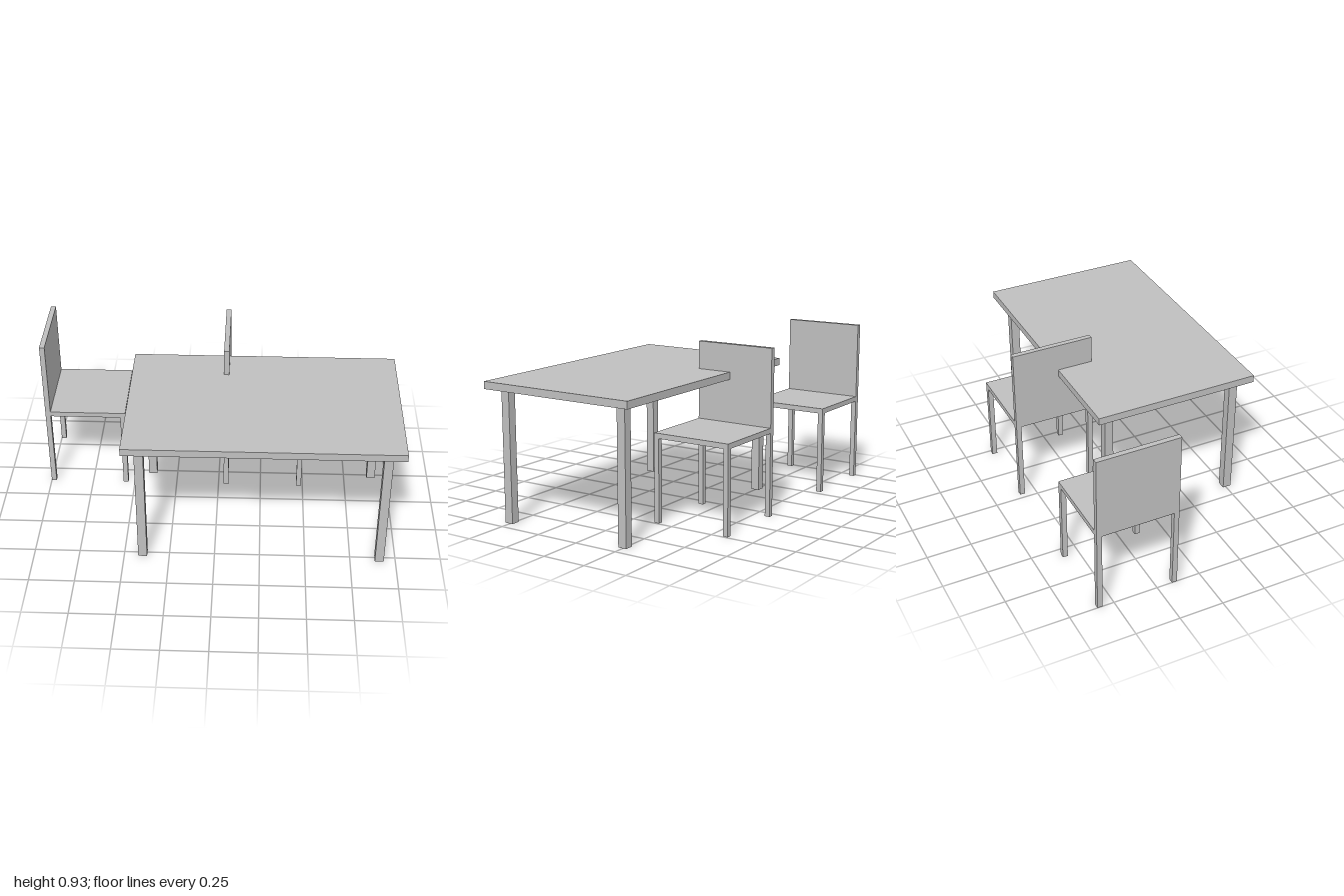
import * as THREE from 'three';

const grey = new THREE.MeshStandardMaterial({ color: 0xc0c0c0 });
grey.name = 'light grey';

// Box given by its minimum and maximum corners
function box(name, [x0, y0, z0], [x1, y1, z1]) {
  const mesh = new THREE.Mesh(new THREE.BoxGeometry(x1 - x0, y1 - y0, z1 - z0), grey);
  mesh.position.set((x0 + x1) / 2, (y0 + y1) / 2, (z0 + z1) / 2);
  mesh.name = name;
  return mesh;
}

// Square legs, placed by the low corner of each
function addLegs(group, name, xs, zs, width, height) {
  for (const x of xs) {
    for (const z of zs) group.add(box(name, [x, 0, z], [x + width, height, z + width]));
  }
}

function createTable() {
  const table = new THREE.Group();
  table.name = 'table';
  table.add(box('tableTop', [-0.486, 0.735, -0.334], [1, 0.776, 0.594]));
  addLegs(table, 'tableLeg', [-0.422, 0.887], [-0.271, 0.483], 0.049, 0.735);
  return table;
}

// Chair facing +x, its back edge at x = 0 and centred on z = 0
function createChair(name) {
  const size = 0.461, half = size / 2, t = 0.029, seatY = 0.467, seatTop = 0.496;
  const chair = new THREE.Group();
  chair.name = name;
  chair.add(box('seat', [0, seatY, -half], [size, seatTop, half]));
  chair.add(box('backrest', [0, seatTop, -half], [t, 0.93, half]));
  addLegs(chair, 'chairLeg', [0, size - t], [-half, half - t], t, seatY);
  return chair;
}

export function createModel() {
  const model = new THREE.Group();
  model.name = 'diningSet';
  model.add(createTable());
  [['rightChair', -1], ['leftChair', 0.031]].forEach(([name, x]) => {
    const chair = createChair(name);
    chair.position.set(x, 0, -0.3635);
    model.add(chair);
  });
  return model;
}
